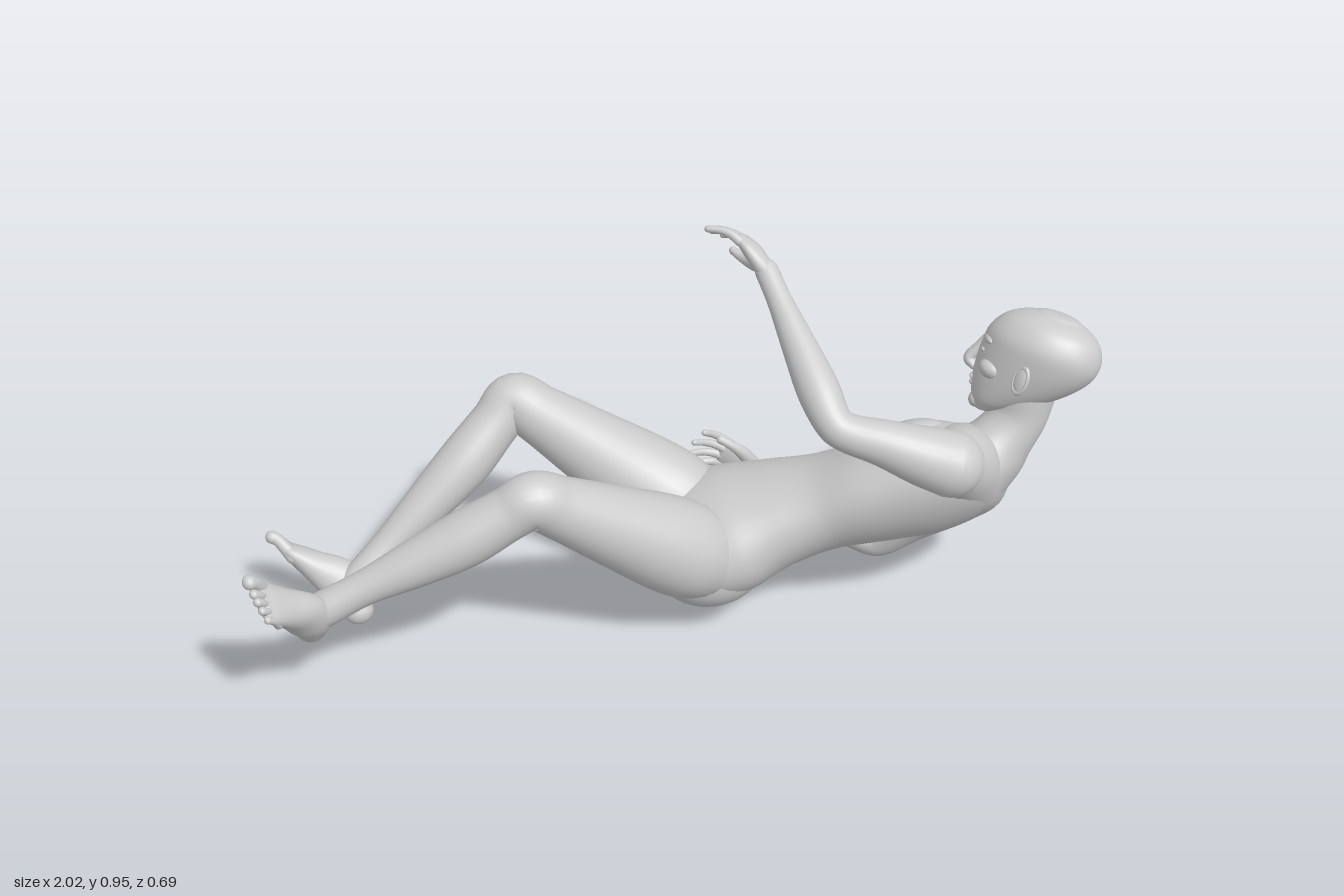
import * as THREE from 'three';

const material = new THREE.MeshStandardMaterial({ color: 0xcccccc });
const V = (x, y, z) => new THREE.Vector3(x, y, z);

function add(parent, name, geometry) {
  const mesh = new THREE.Mesh(geometry, material);
  mesh.name = name;
  parent.add(mesh);
  return mesh;
}

// Smooth closed skin through sections [center, halfWidth, halfDepth, sideVector], with rounded ends
function loft(sections, steps = 6, sides = 28, capHeight = 1) {
  const curve = (pts) => new THREE.CatmullRomCurve3(pts, false, 'catmullrom', 0.5);
  const path = curve(sections.map((s) => s[0]));
  const size = curve(sections.map((s) => V(s[1], s[2], 0)));
  const across = curve(sections.map((s) => s[3]));
  const rings = [];
  const n = (sections.length - 1) * steps, capSteps = 6;
  for (let i = 0; i < capSteps; i++) rings.push([0, (i / capSteps - 1) * Math.PI / 2]);
  for (let i = 0; i <= n; i++) rings.push([i / n, 0]);
  for (let i = 1; i <= capSteps; i++) rings.push([1, (i / capSteps) * Math.PI / 2]);
  const pos = [], index = [];
  rings.forEach(([u, cap], i) => {
    const t = path.getTangent(u), r = size.getPoint(u);
    const side = across.getPoint(u);
    side.addScaledVector(t, -side.dot(t)).normalize();
    const front = side.clone().cross(t);
    const k = Math.max(Math.cos(cap), 0.002);
    const c = path.getPoint(u).addScaledVector(t, Math.sin(cap) * Math.min(r.x, r.y) * capHeight);
    for (let j = 0; j < sides; j++) {
      const a = (j / sides) * Math.PI * 2;
      const p = c.clone().addScaledVector(side, r.x * k * Math.cos(a)).addScaledVector(front, r.y * k * Math.sin(a));
      pos.push(p.x, p.y, p.z);
      if (i === rings.length - 1) continue;
      const j2 = (j + 1) % sides, A = i * sides + j, B = A + sides, C = i * sides + j2, D = C + sides;
      index.push(A, B, C, B, D, C);
    }
  });
  const g = new THREE.BufferGeometry();
  g.setAttribute('position', new THREE.Float32BufferAttribute(pos, 3));
  g.setIndex(index);
  g.computeVertexNormals();
  return g;
}

function blob(parent, name, center, size) {
  const mesh = add(parent, name, new THREE.SphereGeometry(1, 28, 20));
  mesh.position.copy(center);
  mesh.scale.copy(size);
  return mesh;
}

// Orthonormal frame: z along forward, y near up, x to the left
function frame(forward, up) {
  const z = forward.clone().normalize();
  const x = up.clone().cross(z).normalize();
  return new THREE.Matrix4().makeBasis(x, z.clone().cross(x), z);
}

function framedGroup(parent, name, origin, basis) {
  const g = new THREE.Group();
  g.name = name;
  g.position.copy(origin);
  g.quaternion.setFromRotationMatrix(basis);
  parent.add(g);
  return g;
}

// Two-bone limb; profile rows: [t (0 root, 1 joint, 2 end), radius, shift toward the inside of the bend]
function limb(parent, name, a, b, c, profile) {
  const inner = a.clone().add(c).multiplyScalar(0.5).sub(b).normalize();
  const side = b.clone().sub(a).cross(c.clone().sub(b)).normalize();
  const sections = profile.map(([t, r, shift]) => {
    const p = t <= 1 ? a.clone().lerp(b, t) : b.clone().lerp(c, t - 1);
    return [p.addScaledVector(inner, shift), r, r, side];
  });
  add(parent, name, loft(sections, 7));
}

const armProfile = [[0, 0.08, 0], [0.25, 0.071, 0], [0.6, 0.055, 0.004], [0.9, 0.046, 0.004], [1.05, 0.045, 0.004],
  [1.25, 0.05, 0], [1.5, 0.042, 0], [1.8, 0.03, 0], [2, 0.028, 0]];
const legProfile = [[-0.12, 0.09, 0], [0.06, 0.116, 0], [0.25, 0.116, 0], [0.55, 0.096, 0], [0.85, 0.075, 0], [1, 0.068, 0.004],
  [1.12, 0.063, 0.004], [1.32, 0.067, 0.012], [1.55, 0.057, 0.008], [1.8, 0.042, 0], [2, 0.043, 0]];

// Hand along local z, back of the hand on +y, thumb on the given side of x
function hand(parent, name, wrist, dir, back, thumbSide, curl) {
  const g = framedGroup(parent, name, wrist, frame(dir, back)), X = V(1, 0, 0);
  add(g, 'palm', loft([[V(0, 0, -0.02), 0.027, 0.024, X], [V(0, 0, 0.02), 0.033, 0.022, X],
    [V(0, 0.003, 0.06), 0.043, 0.021, X], [V(0, 0.002, 0.095), 0.041, 0.015, X]]));
  [0.088, 0.1, 0.094, 0.074].forEach((len, i) => {
    const x = thumbSide * (0.033 - i * 0.022), pts = [];
    for (let k = 0; k <= 3; k++) {
      const bend = curl * k / 3;
      pts.push([V(x * (1 + 0.25 * k), -len * (k / 3) * Math.sin(bend) * 0.8, 0.088 + len * (k / 3) * Math.cos(bend * 0.7)),
        0.0125 - k * 0.0014, 0.012 - k * 0.0014, X]);
    }
    add(g, 'finger', loft(pts, 4, 12));
  });
  add(g, 'thumb', loft([[V(thumbSide * 0.018, -0.006, 0.02), 0.02, 0.018, X], [V(thumbSide * 0.045, -0.025, 0.055), 0.017, 0.016, X],
    [V(thumbSide * 0.06, -0.04, 0.09), 0.012, 0.012, X], [V(thumbSide * 0.064, -0.048, 0.122), 0.011, 0.01, X]], 4, 14));
}

// Foot along local z from the heel, sole at y = 0, big toe on the given side of x
function foot(parent, name, heel, toe, knee, bigToe) {
  const g = framedGroup(parent, name, heel, frame(toe.clone().sub(heel), knee.clone().sub(heel))), X = V(1, 0, 0);
  add(g, 'footBody', loft([[V(0, 0.038, 0.016), 0.034, 0.037, X], [V(0, 0.055, 0.06), 0.042, 0.056, X],
    [V(0, 0.054, 0.11), 0.043, 0.055, X], [V(0, 0.038, 0.17), 0.049, 0.039, X], [V(0, 0.024, 0.225), 0.055, 0.025, X],
    [V(0, 0.018, 0.25), 0.05, 0.016, X]]));
  for (let i = 0; i < 5; i++) {
    const r = i ? 0.0125 - i * 0.0007 : 0.018, x = bigToe * (i ? 0.024 - i * 0.0185 : 0.036), tip = 0.292 - i * i * 0.0022;
    add(g, 'toe', loft([[V(x * 0.95, 0.02, 0.22 - i * 0.004), r, r, X], [V(x, 0.022, tip - 0.02), r * 0.85, r * 0.85, X],
      [V(x, 0.016, tip), r, r * 0.9, X]], 4, 14));
  }
}

function buildHead(parent) {
  const g = framedGroup(parent, 'head', V(0.88, 0.683, 0.148), frame(V(-0.74, 0.15, -0.65), V(0.375, 0.87, -0.1)));
  const X = V(1, 0, 0);
  // Skull and jaw: level rows of [height, half width, half depth], then the jaw is slid forward
  const rows = [[-0.15, 0.028, 0.024], [-0.125, 0.05, 0.055], [-0.09, 0.067, 0.088], [-0.05, 0.081, 0.115],
    [0, 0.095, 0.136], [0.045, 0.102, 0.139], [0.085, 0.09, 0.119], [0.108, 0.068, 0.088], [0.121, 0.042, 0.054]];
  const skull = loft(rows.map(([y, w, d]) => [V(0, y, 0), w, d, X]), 5, 36, 0.22);
  const p = skull.attributes.position;
  for (let i = 0; i < p.count; i++) {
    const y = p.getY(i);
    p.setZ(i, p.getZ(i) + (y < 0.03 ? 0.085 * ((0.03 - y) / 0.18) ** 1.5 : -0.12 * (y - 0.03)));
  }
  skull.computeVertexNormals();
  add(g, 'skull', skull);
  add(g, 'nose', loft([[V(0, 0.012, 0.132), 0.011, 0.012, X], [V(0, -0.02, 0.146), 0.012, 0.013, X],
    [V(0, -0.05, 0.158), 0.016, 0.014, X], [V(0, -0.062, 0.142), 0.018, 0.012, X]], 5, 18));
  blob(g, 'upperLip', V(0, -0.086, 0.13), V(0.026, 0.007, 0.012));
  blob(g, 'lowerLip', V(0, -0.1, 0.126), V(0.022, 0.008, 0.012));
  blob(g, 'chin', V(0, -0.135, 0.106), V(0.03, 0.022, 0.02));
  for (const s of [-1, 1]) {
    blob(g, 'brow', V(s * 0.036, 0.02, 0.119), V(0.034, 0.012, 0.014)).rotation.y = s * 0.4;
    blob(g, 'eye', V(s * 0.036, -0.008, 0.119), V(0.017, 0.009, 0.012));
    blob(g, 'cheek', V(s * 0.047, -0.042, 0.084), V(0.034, 0.026, 0.036));
    // Ear: dished lobe with a raised rim
    const ear = framedGroup(g, 'ear', V(s * 0.092, -0.032, 0.006), new THREE.Matrix4().makeRotationY(s * (Math.PI / 2 - 0.4)));
    blob(ear, 'earBowl', V(0, 0, 0), V(0.018, 0.031, 0.007));
    add(ear, 'earRim', new THREE.TorusGeometry(0.022, 0.005, 10, 28)).scale.set(0.85, 1.4, 1);
  }
}

export function createModel() {
  const body = new THREE.Group();
  body.name = 'recliningFigure';

  // Torso: level pelvis twisting toward a chest rolled onto its right side
  const chestSide = V(-0.39, 0.66, 0.64), chestFront = V(-0.11, 0.68, -0.72);
  add(body, 'torso', loft([
    [V(-0.01, 0.2, 0.03), 0.1, 0.08, V(0, -0.05, 1)],
    [V(0.07, 0.21, 0.03), 0.172, 0.122, V(0, -0.05, 1)],
    [V(0.17, 0.232, 0.03), 0.19, 0.138, V(0, 0, 1)],
    [V(0.28, 0.27, 0.045), 0.172, 0.126, V(-0.1, 0.2, 0.97)],
    [V(0.4, 0.305, 0.07), 0.172, 0.117, V(-0.2, 0.42, 0.87)],
    [V(0.52, 0.345, 0.105), 0.198, 0.127, V(-0.3, 0.58, 0.75)],
    [V(0.63, 0.38, 0.13), 0.217, 0.133, chestSide],
    [V(0.715, 0.41, 0.147), 0.202, 0.118, chestSide],
    [V(0.775, 0.447, 0.153), 0.14, 0.09, chestSide],
    [V(0.81, 0.492, 0.156), 0.086, 0.074, chestSide],
    [V(0.845, 0.55, 0.156), 0.066, 0.067, V(-0.45, 0.4, 0.78)],
    [V(0.862, 0.62, 0.152), 0.064, 0.068, V(-0.45, 0.4, 0.78)],
  ], 6, 40));

  // Shoulder girdle joining both arm roots across the upper chest
  const leftShoulder = V(0.637, 0.513, 0.27), rightShoulder = V(0.782, 0.272, 0.04);
  add(body, 'shoulders', loft([
    [leftShoulder, 0.077, 0.077, chestFront],
    [V(0.68, 0.47, 0.215), 0.096, 0.094, chestFront],
    [V(0.72, 0.405, 0.15), 0.11, 0.104, chestFront],
    [V(0.762, 0.335, 0.09), 0.098, 0.095, chestFront],
    [rightShoulder, 0.077, 0.077, chestFront],
  ], 8, 32));

  // Chest and seat muscles
  for (const s of [-1, 1]) {
    const p = V(0.62, 0.38, 0.13).addScaledVector(chestFront, 0.083).addScaledVector(chestSide, s * 0.08);
    blob(body, 'pectoral', p, V(0.105, 0.1, 0.045))
      .quaternion.setFromRotationMatrix(frame(chestFront, V(0.93, 0.33, 0.16)));
    blob(body, 'buttock', V(0.105, 0.188, 0.034 + s * 0.074), V(0.135, 0.107, 0.1));
  }
  buildHead(body);

  // Arms: left raised across the body, right bent with its elbow lowest
  const leftWrist = V(0.28, 0.87, -0.095), rightWrist = V(0.32, 0.175, -0.278);
  limb(body, 'leftArm', leftShoulder, V(0.36, 0.63, 0.25), leftWrist, armProfile);
  limb(body, 'rightArm', rightShoulder, V(0.597, 0.038, -0.08), rightWrist, armProfile);
  hand(body, 'leftHand', leftWrist, V(-0.4, 0.45, -0.8), V(0.55, 0.68, -0.1), -1, 0.65);
  hand(body, 'rightHand', rightWrist, V(-0.8, 0.4, -0.44), V(0.38, 0.02, -0.84), 1, 0.7);

  // Legs: both knees raised, left shin stretched further out
  const leftKnee = V(-0.335, 0.515, 0.208), rightKnee = V(-0.305, 0.48, -0.278);
  limb(body, 'leftLeg', V(0.08, 0.225, 0.115), leftKnee, V(-0.83, 0.272, 0.195), legProfile);
  limb(body, 'rightLeg', V(0.09, 0.245, -0.055), rightKnee, V(-0.735, 0.11, -0.112), legProfile);
  foot(body, 'leftFoot', V(-0.892, 0.183, 0.173), V(-1.0, 0.435, 0.325), leftKnee, -1);
  foot(body, 'rightFoot', V(-0.762, 0.012, -0.06), V(-0.947, 0.19, -0.237), rightKnee, 1);
  return body;
}
